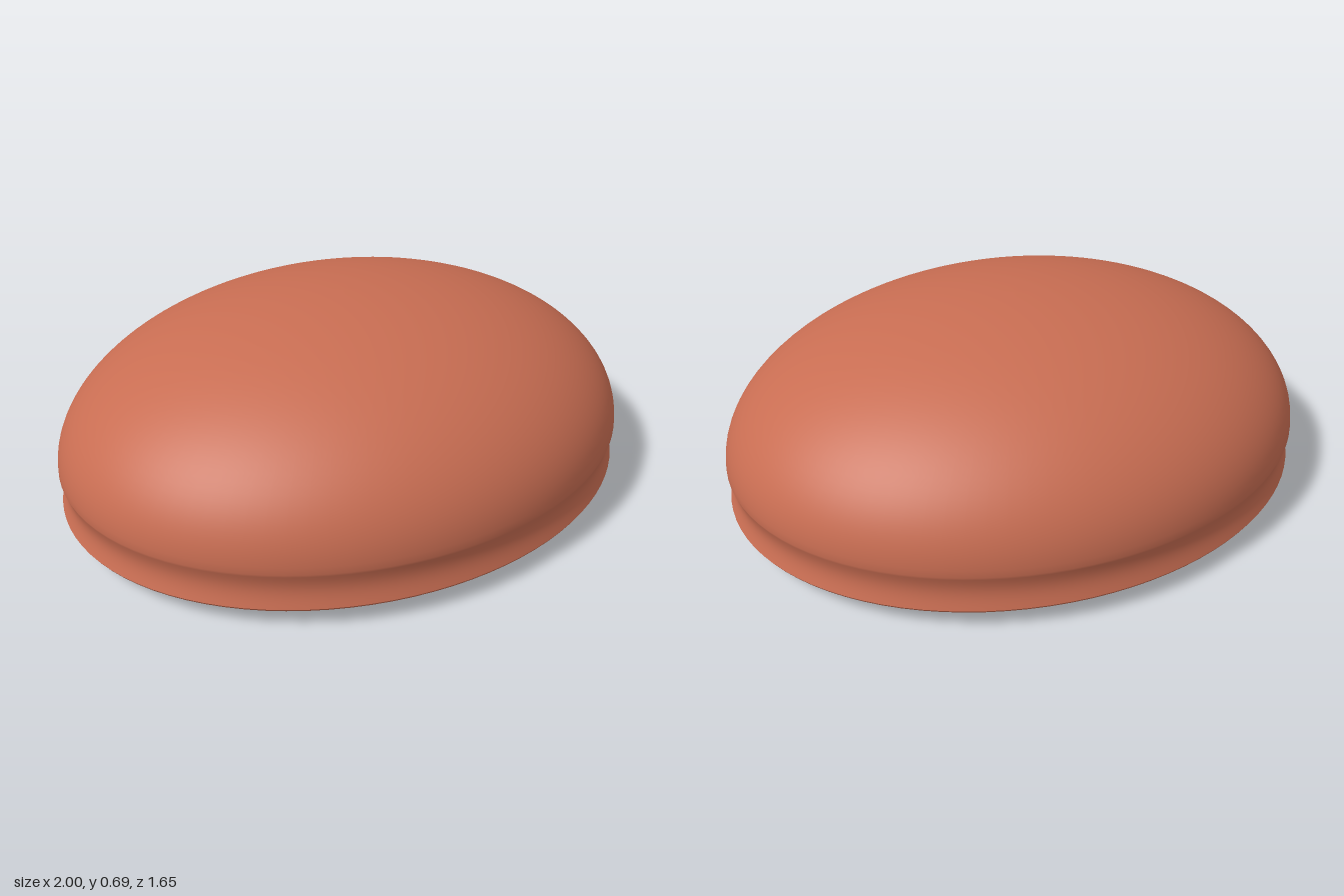
import * as THREE from 'three';

// Oval, very slightly skewed plan shared by every part
const plan = new THREE.Matrix4().set(
  0.999, 0, 0.045, 0,
  0, 1, 0, 0,
  0, 0, 0.826, 0,
  0, 0, 0, 1
);

function turned(name, points, material) {
  const geometry = new THREE.LatheGeometry(points, 96);
  geometry.applyMatrix4(plan);
  const mesh = new THREE.Mesh(geometry, material);
  mesh.name = name;
  return mesh;
}

export function createModel() {
  const group = new THREE.Group();
  group.name = 'ovalCushion';
  const material = new THREE.MeshStandardMaterial({ color: 0xc86d52 });

  const rimY = 0.075, shoulderY = 0.2, topY = 0.695;

  // Shallow convex underside, ending in a crisp rim
  const under = [];
  for (let i = 0; i <= 16; i++) {
    const a = (i / 16) * Math.PI / 2;
    under.push(new THREE.Vector2(Math.sin(a), rimY * (1 - Math.cos(a))));
  }
  group.add(turned('underside', under, material));

  // Groove above the rim, flowing into the elliptical dome
  const body = [];
  for (let i = 0; i < 12; i++) {
    const t = i / 12;
    body.push(new THREE.Vector2(1 - 0.015 * Math.sin(t * Math.PI), rimY + (shoulderY - rimY) * t));
  }
  for (let i = 0; i <= 32; i++) {
    const a = (i / 32) * Math.PI / 2;
    body.push(new THREE.Vector2(i === 32 ? 0 : Math.cos(a), shoulderY + (topY - shoulderY) * Math.sin(a)));
  }
  group.add(turned('groovedDome', body, material));

  return group;
}
